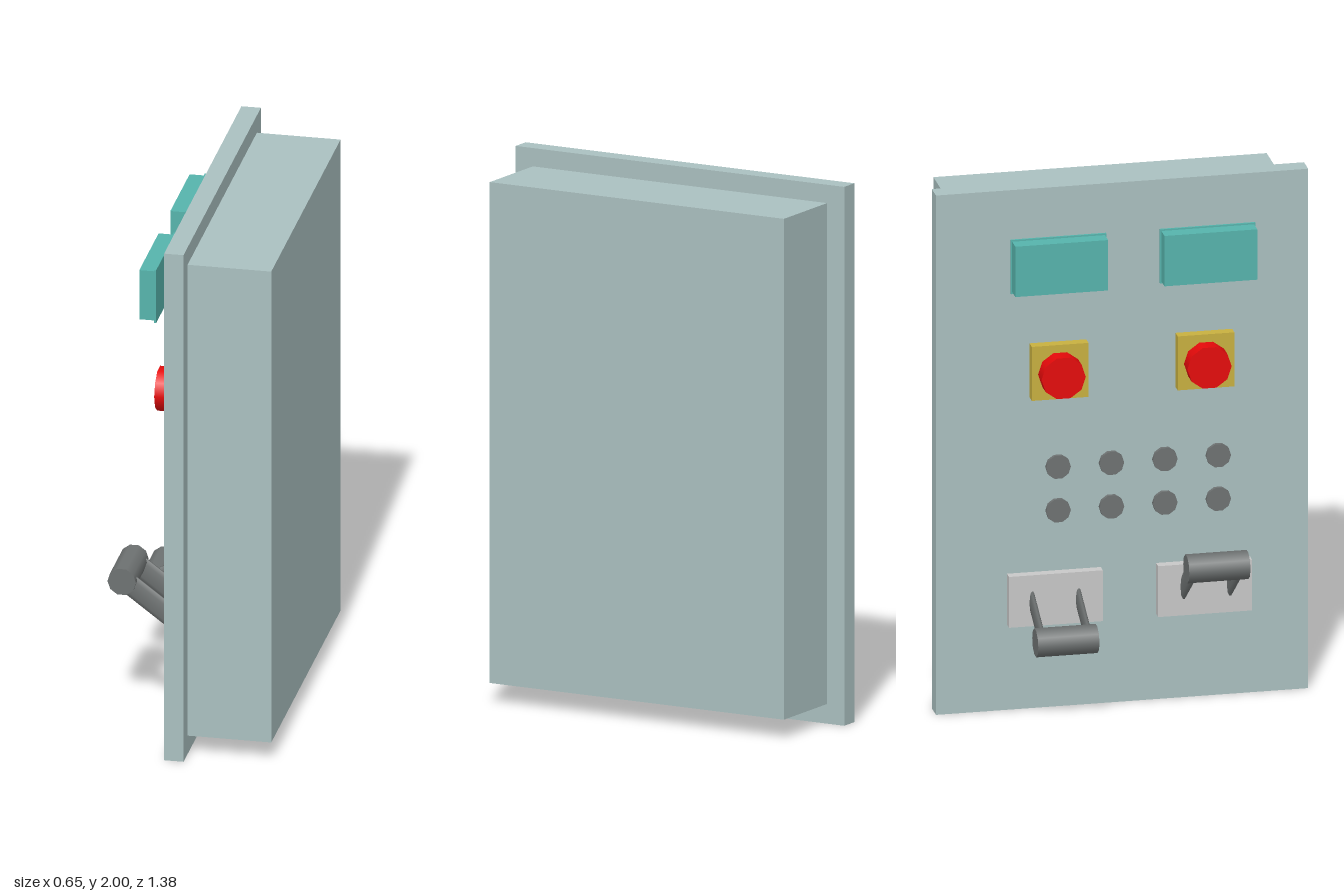
import * as THREE from 'three';

const material = (name, color) => {
  const m = new THREE.MeshStandardMaterial({ color });
  m.name = name;
  return m;
};

export function createModel() {
  const model = new THREE.Group();
  model.name = 'controlPanel';
  const casing = material('casing grey-green', 0xaac0c0);
  const teal = material('screen teal', 0x56b4ac);
  const yellow = material('backplate yellow', 0xc8b040);
  const red = material('button red', 0xe60a0a);
  const dark = material('dark grey', 0x6e7272);
  const light = material('light grey', 0xc8c8c8);

  // Box given by its limits on each axis
  function box(name, mat, [x0, x1], [y0, y1], [z0, z1]) {
    const mesh = new THREE.Mesh(new THREE.BoxGeometry(x1 - x0, y1 - y0, z1 - z0), mat);
    mesh.position.set((x0 + x1) / 2, (y0 + y1) / 2, (z0 + z1) / 2);
    mesh.name = name;
    model.add(mesh);
  }

  // Round button with its axis along x
  function disc(name, mat, radius, [x0, x1], y, z) {
    const geo = new THREE.CylinderGeometry(radius, radius, x1 - x0, 10).rotateZ(Math.PI / 2);
    const mesh = new THREE.Mesh(geo, mat);
    mesh.position.set((x0 + x1) / 2, y, z);
    mesh.name = name;
    model.add(mesh);
  }

  // Casing and face plate
  box('facePlate', casing, [-0.06, 0.012], [0, 2], [-0.69, 0.69]);
  box('rearHousing', casing, [0.012, 0.322], [0.073, 1.932], [-0.618, 0.618]);

  // Lever: mounting plate, two flat oval arms and a round grip
  function lever(plateZ, gripZ, gripY) {
    box('leverPlate', light, [-0.096, -0.058], [0.328, 0.524], [plateZ - 0.174, plateZ + 0.174]);
    const base = new THREE.Vector2(-0.08, 0.426);
    const grip = new THREE.Vector2(-0.273, gripY);
    const span = grip.clone().sub(base);
    for (const side of [-1, 1]) {
      const geo = new THREE.CylinderGeometry(1, 1, span.length(), 10);
      geo.scale(0.042, 1, 0.011);
      const arm = new THREE.Mesh(geo, dark);
      arm.rotation.z = span.angle() - Math.PI / 2;
      arm.position.set((base.x + grip.x) / 2, (base.y + grip.y) / 2, gripZ + side * 0.086);
      arm.name = 'leverArm';
      model.add(arm);
    }
    const bar = new THREE.CylinderGeometry(0.053, 0.053, 0.227, 10);
    bar.rotateY(Math.PI / 2).rotateX(Math.PI / 2);
    const mesh = new THREE.Mesh(bar, dark);
    mesh.position.set(grip.x, grip.y, gripZ);
    mesh.name = 'leverGrip';
    model.add(mesh);
  }
  lever(-0.253, -0.254, 0.328);
  lever(0.3, 0.306, 0.571);

  // Screens with a thin rear rim, standing clear of the face plate
  for (const z of [-0.253, 0.3]) {
    box('screen', teal, [-0.197, -0.142], [1.637, 1.831], [z - 0.172, z + 0.172]);
    box('screenRim', teal, [-0.142, -0.134], [1.629, 1.837], [z - 0.177, z + 0.177]);
  }

  // Stop buttons on square plates
  for (const z of [-0.238, 0.303]) {
    box('stopPlate', yellow, [-0.1, -0.058], [1.197, 1.405], [z - 0.105, z + 0.105]);
    disc('stopButton', red, 0.082, [-0.16, -0.1], 1.297, z);
  }

  // Two rows of four small buttons
  for (const y of [0.757, 0.925]) {
    for (let i = 0; i < 4; i++) {
      disc('smallButton', dark, 0.046, [-0.075, -0.058], y, -0.239 + i * 0.198);
    }
  }
  return model;
}
